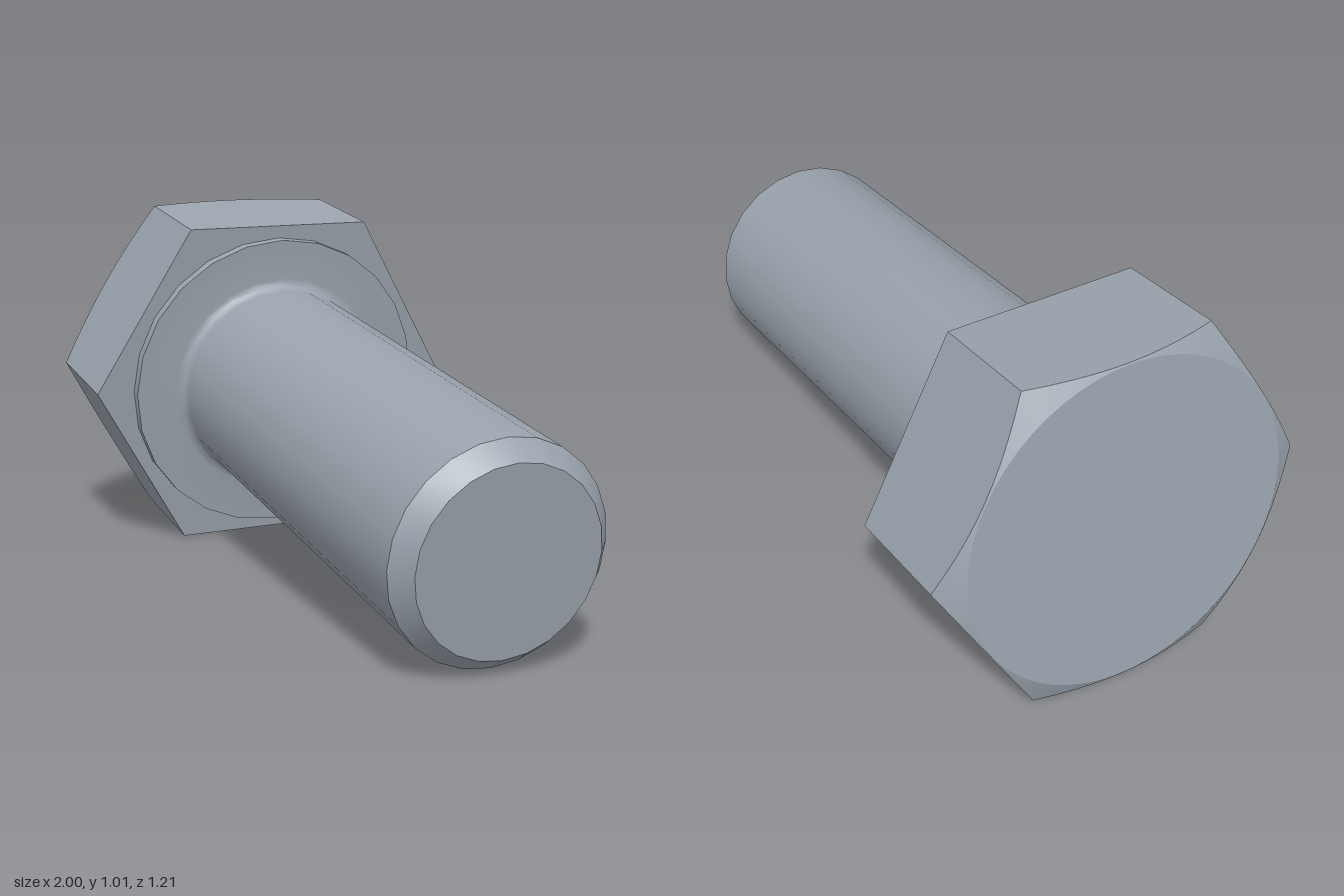
import * as THREE from 'three';
import { toCreasedNormals } from 'three/addons/utils/BufferGeometryUtils.js';

const SEGMENTS = 24;
const CREASE = 0.4;

// Hexagonal head below y = 0, with a 30 degree conical chamfer around its outer face
function hexHead(apothem, rim, height, perSide) {
  const pos = [];
  const tri = (...points) => points.forEach((p) => pos.push(...p));
  const count = 6 * perSide;
  const at = (r, y, a) => [r * Math.cos(a), y, -r * Math.sin(a)];
  const section = (i) => {
    const a = ((i % count) / count) * Math.PI * 2;
    const r = apothem / Math.cos((a % (Math.PI / 3)) - Math.PI / 6);
    const low = -height + (r - rim) * Math.tan(Math.PI / 6);
    return { hi: at(r, 0, a), lo: at(r, low, a), cap: at(rim, -height, a) };
  };
  for (let i = 0; i < count; i++) {
    const p = section(i), q = section(i + 1);
    tri([0, 0, 0], p.hi, q.hi);                        // bearing side
    tri(p.lo, q.lo, q.hi); tri(p.lo, q.hi, p.hi);      // flats
    tri(p.cap, q.cap, q.lo); tri(p.cap, q.lo, p.lo);   // chamfer
    tri([0, -height, 0], q.cap, p.cap);                // outer face
  }
  const geometry = new THREE.BufferGeometry();
  geometry.setAttribute('position', new THREE.Float32BufferAttribute(pos, 3));
  return toCreasedNormals(geometry, CREASE);
}

function lathe(profile) {
  const points = profile.map(([r, y]) => new THREE.Vector2(r, y));
  return toCreasedNormals(new THREE.LatheGeometry(points, SEGMENTS), CREASE);
}

export function createModel() {
  const steel = new THREE.MeshStandardMaterial({ color: 0x9aa3ad });
  steel.name = 'steel grey';

  const bolt = new THREE.Group();
  bolt.name = 'hexBolt';
  const add = (name, geometry) => {
    const mesh = new THREE.Mesh(geometry, steel);
    mesh.name = name;
    bolt.add(mesh);
  };

  add('hexHead', hexHead(0.486, 0.482, 0.386, 10));

  // Raised bearing ring with a small fillet leading into the shank
  const R = 0.3, fillet = 0.03, ring = 0.033;
  const collar = [[0.449, 0], [0.449, ring]];
  for (let i = 0; i <= 5; i++) {
    const a = (i / 5) * Math.PI / 2;
    collar.push([R + fillet * (1 - Math.sin(a)), ring + fillet * (1 - Math.cos(a))]);
  }
  add('washerFace', lathe(collar));

  // Plain shank with a chamfered tip
  add('shank', lathe([[R, ring + fillet], [R, 1.44], [0.254, 1.495], [0, 1.495]]));

  // Lay the bolt on its side, resting on the tip and one flat of the head
  const axis = new THREE.Vector3(0.9706, -0.126, 0.205).normalize();
  const corner = new THREE.Vector3(-axis.z, 0, axis.x).normalize();
  const third = new THREE.Vector3().crossVectors(corner, axis);
  bolt.quaternion.setFromRotationMatrix(new THREE.Matrix4().makeBasis(corner, axis, third));
  bolt.position.set(-0.512, 0.4825, 0.0125);

  const model = new THREE.Group();
  model.name = 'model';
  model.add(bolt);
  return model;
}
